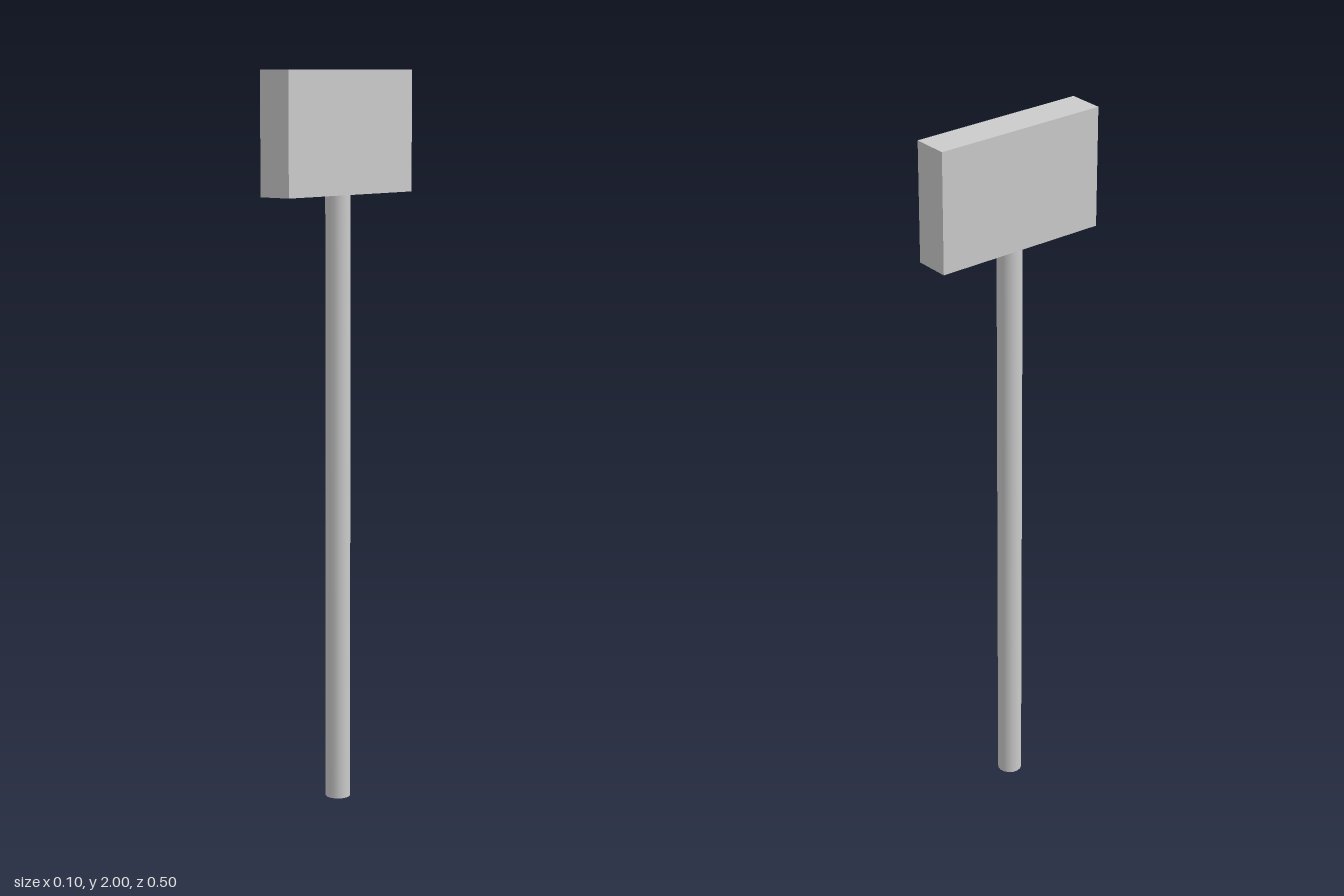
import * as THREE from 'three';

const POLE_RADIUS = 0.034;
const HEAD_BOTTOM = 1.67;
const HEAD_SIZE = { x: 0.1, y: 0.33, z: 0.5 };

export function createModel() {
  const group = new THREE.Group();
  group.name = 'mallet';

  // Handle: a slim round tube, open at the lower end
  const handle = new THREE.Mesh(
    new THREE.CylinderGeometry(POLE_RADIUS, POLE_RADIUS, HEAD_BOTTOM, 16, 1, true),
    new THREE.MeshStandardMaterial({ color: 0xcccccc, side: THREE.DoubleSide })
  );
  handle.name = 'handle';
  handle.position.y = HEAD_BOTTOM / 2;

  // Head: a flat block, long from front to back
  const head = new THREE.Mesh(
    new THREE.BoxGeometry(HEAD_SIZE.x, HEAD_SIZE.y, HEAD_SIZE.z),
    new THREE.MeshStandardMaterial({ color: 0xcccccc })
  );
  head.name = 'head';
  head.position.y = HEAD_BOTTOM + HEAD_SIZE.y / 2;

  group.add(handle, head);
  return group;
}
